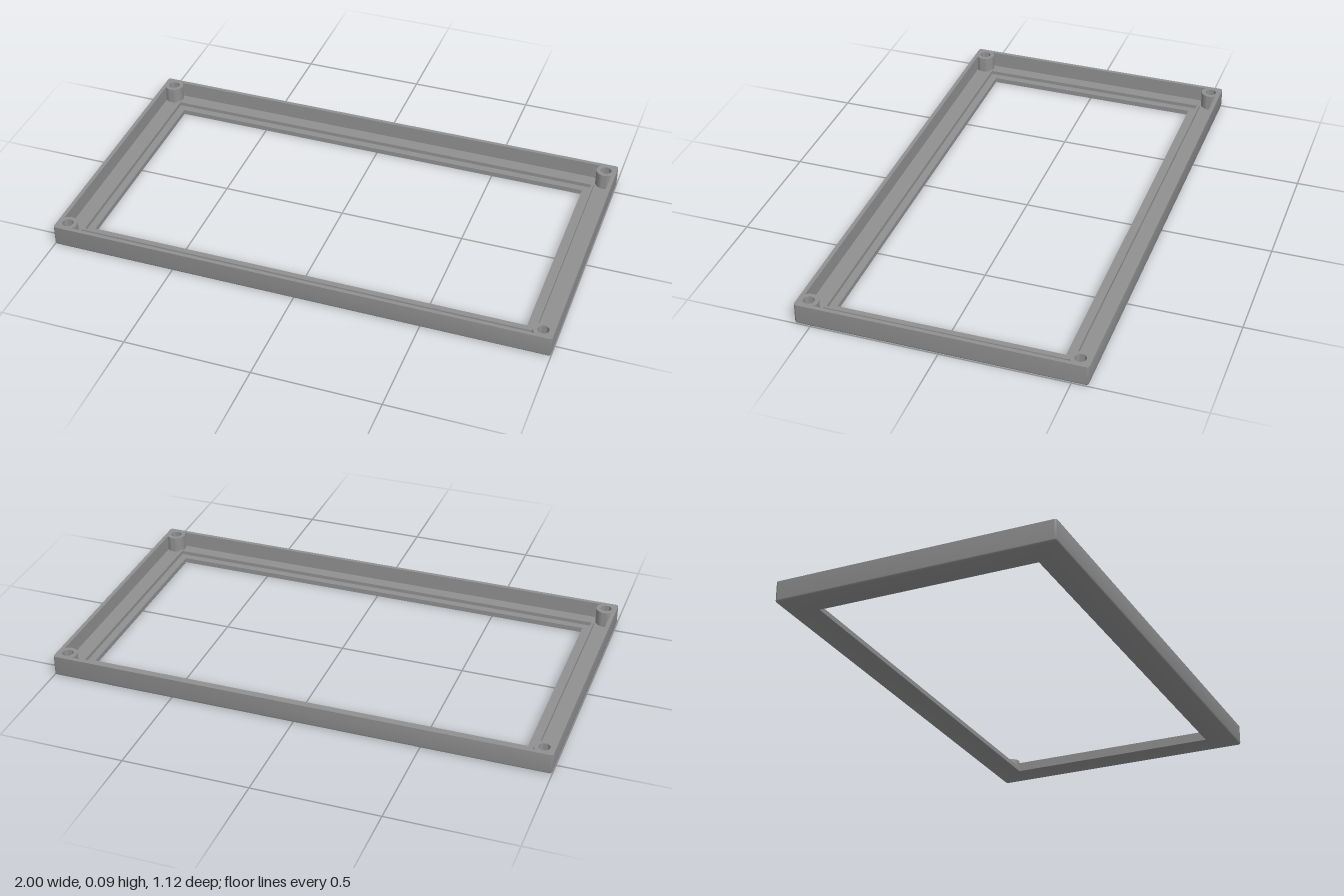
import * as THREE from 'three';
import { toCreasedNormals } from 'three/addons/utils/BufferGeometryUtils.js';

const HALF_X = 1, HALF_Z = 0.5625, TOP = 0.085, FLOOR = 0.02, ROUND = 0.01;

// Corner points of the frame outline moved inward; the outer edge is slightly rounded
function ring(inset, y, steps = 4) {
  const c = Math.max(inset, ROUND), r = c - inset, points = [];
  [[1, 1], [-1, 1], [-1, -1], [1, -1]].forEach(([sx, sz], k) => {
    for (let i = 0; i <= steps; i++) {
      const a = (k + i / steps) * Math.PI / 2;
      points.push(new THREE.Vector3(
        sx * (HALF_X - c) + r * Math.cos(a), y, sz * (HALF_Z - c) + r * Math.sin(a)));
    }
  });
  return points;
}

// Sweep a closed profile of [inset, height] points around the rectangle
function sweepFrame(profile) {
  const rings = profile.map(([d, y]) => ring(d, y));
  const positions = [];
  const triangle = (a, b, c) => {
    const area = b.clone().sub(a).cross(c.clone().sub(a)).length();
    if (area > 1e-9) [a, b, c].forEach(p => positions.push(p.x, p.y, p.z));
  };
  rings.forEach((lower, j) => {
    const upper = rings[(j + 1) % rings.length];
    lower.forEach((p, i) => {
      const n = (i + 1) % lower.length;
      triangle(p, upper[i], lower[n]);
      triangle(upper[i], upper[n], lower[n]);
    });
  });
  const geometry = new THREE.BufferGeometry();
  geometry.setAttribute('position', new THREE.Float32BufferAttribute(positions, 3));
  return toCreasedNormals(geometry, 0.6);
}

export function createModel() {
  const model = new THREE.Group();
  model.name = 'bezelFrame';
  const grey = new THREE.MeshStandardMaterial({ color: 0x909090 });
  grey.name = 'grey plastic';

  // Profile: rounded lower edge, outer wall, floor, thin rib, opening edge
  const profile = [];
  for (let i = 0; i <= 4; i++) {
    const a = i / 4 * Math.PI / 2;
    profile.push([ROUND * (1 - Math.sin(a)), ROUND * (1 - Math.cos(a))]);
  }
  profile.push(
    [0, TOP], [0.016, TOP], [0.016, FLOOR],
    [0.08, FLOOR], [0.08, 0.035], [0.09, 0.035], [0.09, FLOOR],
    [0.12, FLOOR], [0.12, 0]);
  const frame = new THREE.Mesh(sweepFrame(profile), grey);
  frame.name = 'frame';
  model.add(frame);

  // Hollow screw bosses in the four corners
  const bossProfile = [[0.039, 0.015], [0.039, TOP], [0.022, TOP], [0.022, FLOOR], [0, FLOOR]]
    .map(([r, y]) => new THREE.Vector2(r, y));
  const bossGeometry = toCreasedNormals(new THREE.LatheGeometry(bossProfile, 32), 0.6);
  for (const sx of [-1, 1]) for (const sz of [-1, 1]) {
    const boss = new THREE.Mesh(bossGeometry, grey);
    boss.name = (sz > 0 ? 'front' : 'back') + (sx > 0 ? 'Left' : 'Right') + 'ScrewBoss';
    boss.position.set(sx * 0.957, 0, sz * 0.5195);
    model.add(boss);
  }
  return model;
}
